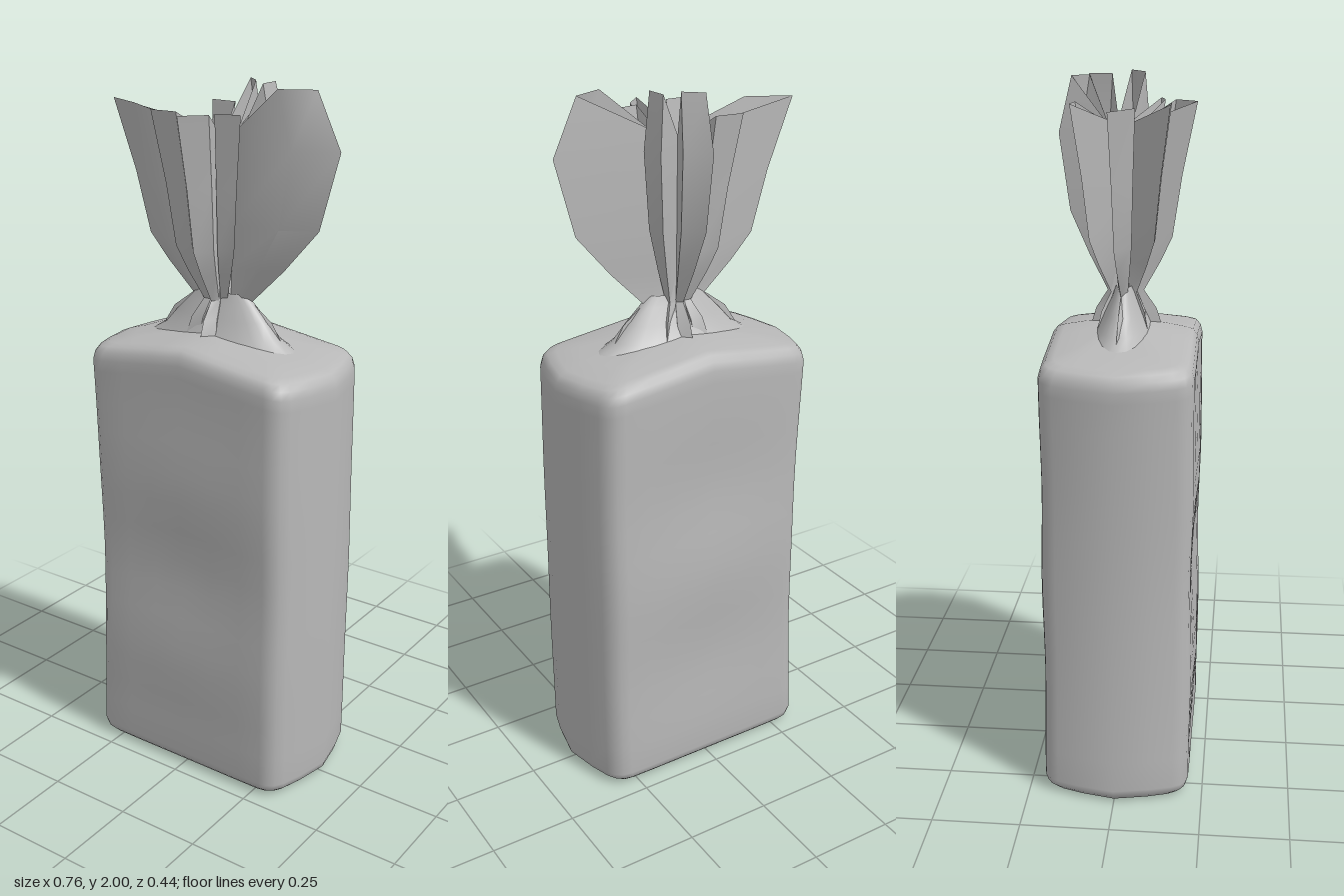
import * as THREE from 'three';
import { toCreasedNormals } from 'three/addons/utils/BufferGeometryUtils.js';

const plastic = new THREE.MeshStandardMaterial({ color: 0xb8b8b8, side: THREE.DoubleSide });
plastic.name = 'grey wrapper';

// Skin a list of closed loops (each running from +x towards +z, bottom to top).
function loft(loops) {
  const n = loops[0].length;
  const index = [];
  for (let j = 0; j < loops.length - 1; j++) {
    for (let i = 0; i < n; i++) {
      const a = j * n + i, b = j * n + (i + 1) % n;
      index.push(a, a + n, b, b, a + n, b + n);
    }
  }
  const g = new THREE.BufferGeometry();
  g.setAttribute('position', new THREE.Float32BufferAttribute(loops.flat(2), 3));
  g.setIndex(index);
  g.computeVertexNormals();
  return g;
}

function part(name, geometry) {
  const mesh = new THREE.Mesh(geometry, plastic);
  mesh.name = name;
  return mesh;
}

// Six-sided block with soft edges, pointed ends and a low gabled top.
function bagBody() {
  const quarter = [[0.375, 0], [0.355, 0.1], [0.335, 0.165], [0.32, 0.19], [0.3, 0.204], [0.275, 0.209],
    [0.2, 0.21], [0.1, 0.21], [0, 0.21]];
  const half = [...quarter, ...quarter.slice(0, -1).reverse().map(([x, z]) => [-x, z])];
  const outline = [...half, ...half.slice(1, -1).reverse().map(([x, z]) => [x, -z])];
  // [height fraction, inset from the outline]
  const levels = [[0, 0.2], [0, 0.04], [0.004, 0.018], [0.014, 0.006], [0.03, 0]];
  for (let t = 0.1; t < 0.95; t += 0.07) levels.push([t, 0]);
  levels.push([0.965, 0], [0.983, 0.006], [0.995, 0.018], [1, 0.04], [1.008, 0.1], [1.016, 0.2]);
  return loft(levels.map(([t, inset]) => outline.map(([x, z]) => {
    const sx = inset === 0.2 ? 0 : 1 - inset / 0.375;
    const sz = inset === 0.2 ? 0 : 1 - inset / 0.21;
    const px = x * sx;
    const y = t * (1.268 + 0.05 * (1 - Math.abs(px) / 0.375));
    // gentle dents in the big faces
    const wall = Math.sin(Math.PI * Math.min(t, 1));
    const wave = Math.cos((y - 0.33) * Math.PI / 0.31);
    const dent = 0.011 * wall * wave * (1 - Math.abs(x) / 0.4);
    const pinch = x < 0 ? 1 - 0.06 * wall : 1 + 0.012 * wall;
    return [px * pinch, y, z * sz + (z === 0 ? 0 : dent)];
  })));
}

// Smooth shoulder between the gabled top and the tie.
function collar() {
  const rings = [[0.25, 0.1, 1.29], [0.19, 0.075, 1.325], [0.15, 0.055, 1.37], [0.11, 0.035, 1.41], [0.08, 0.025, 1.44]];
  return loft(rings.map(([rx, rz, y]) => Array.from({ length: 24 }, (_, i) => {
    const a = i / 24 * Math.PI * 2;
    return [rx * Math.cos(a), y, rz * Math.sin(a)];
  })));
}

// Gathered pleats: [tip x, tip z, side the fold opens to, profile]
const round = [[0.57, 1.3], [0.45, 1.37], [0.27, 1.42], [0.55, 1.52], [0.84, 1.64], [1, 1.85], [0.8, 2]];
const flared = [[0.57, 1.3], [0.45, 1.37], [0.27, 1.42], [0.5, 1.5], [0.67, 1.57], [0.8, 1.74], [1, 1.935]];
const valleyY = [1.31, 1.37, 1.42, 1.51, 1.63, 1.76, 1.88];
const pleats = [
  [0.36, -0.01, 1, round], [0.12, 0.09, 1, flared], [-0.005, 0.195, -1, flared], [-0.14, 0.13, -1, flared],
  [-0.38, -0.01, -1, flared], [-0.13, -0.135, 1, flared], [-0.01, -0.18, 1, round], [0.12, -0.135, 1, round],
];

function ruffle() {
  const loops = valleyY.map((vy, j) => pleats.flatMap(([x, z, side, profile], k) => {
    const [f, y] = profile[j];
    const r = Math.hypot(x, z);
    const open = side * 0.055 * f / r;
    const tip = [x * f, y, z * f];
    const fold = [x * f * 0.68 - z * open, y, z * f * 0.68 + x * open];
    // valley halfway to the next pleat
    const [nx, nz] = pleats[(k + 1) % pleats.length];
    const nr = Math.hypot(nx, nz);
    const mx = x / r + nx / nr, mz = z / r + nz / nr, m = Math.hypot(mx, mz);
    const v = 0.03 + 0.004 * j;
    const valley = [mx / m * v, vy, mz / m * v];
    return side > 0 ? [tip, fold, valley] : [fold, tip, valley];
  }));
  return toCreasedNormals(loft(loops), 0.7);
}

export function createModel() {
  const group = new THREE.Group();
  group.name = 'tied bag';
  group.add(part('bagBody', bagBody()), part('collar', collar()), part('gatheredTop', ruffle()));
  return group;
}
